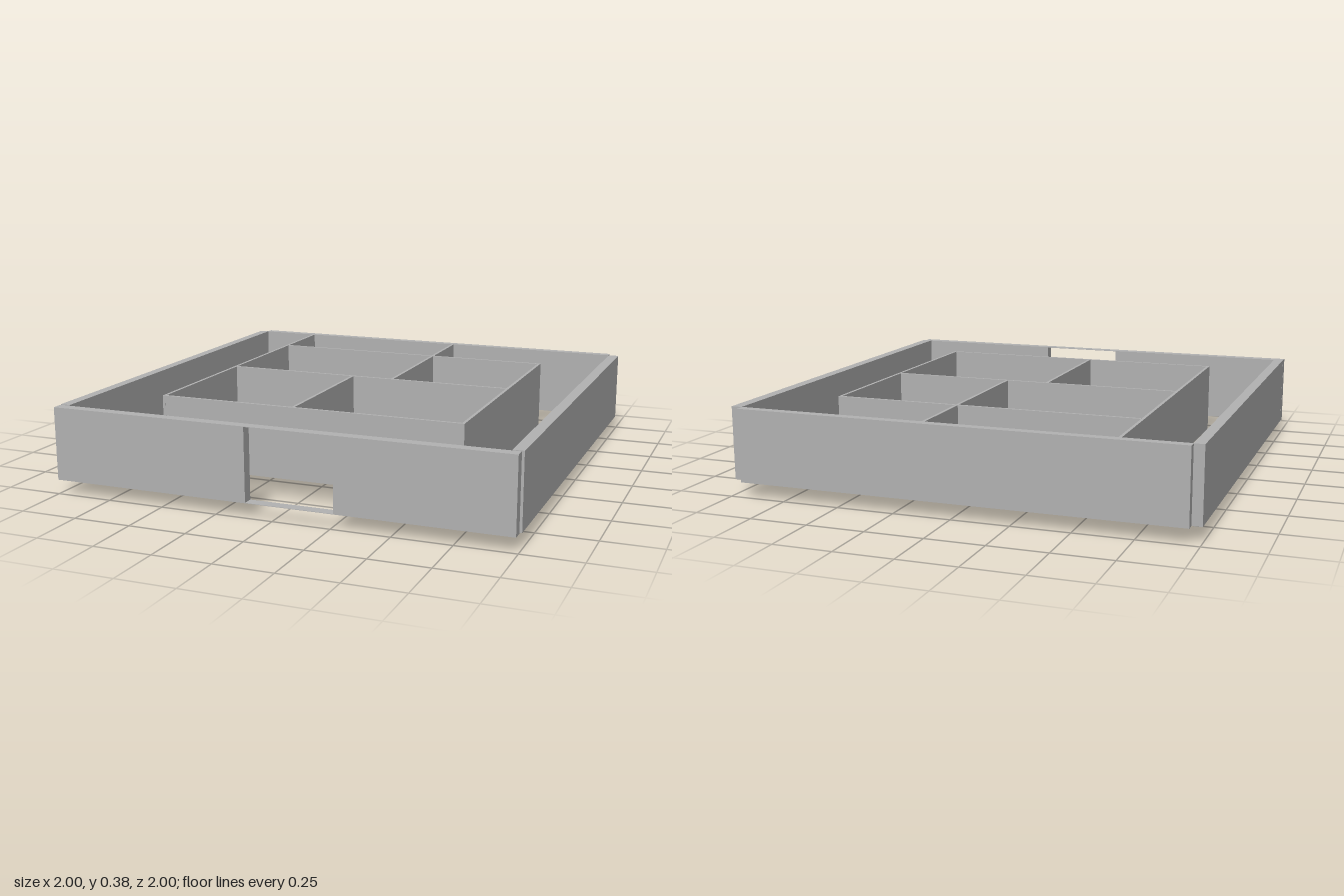
import * as THREE from 'three';

export function createModel() {
  const model = new THREE.Group();
  model.name = 'walledFloorPlan';
  const grey = new THREE.MeshStandardMaterial({ color: 0xb2b2b2 });
  grey.name = 'wall grey';

  const TOP = 0.38, BASE = 0.065;

  // Box between two limits on each axis
  function wall(name, x0, x1, z0, z1, y0 = BASE, y1 = TOP, parent = model) {
    const mesh = new THREE.Mesh(new THREE.BoxGeometry(x1 - x0, y1 - y0, z1 - z0), grey);
    mesh.position.set((x0 + x1) / 2, (y0 + y1) / 2, (z0 + z1) / 2);
    mesh.name = name;
    parent.add(mesh);
  }

  // Outer walls
  wall('backWall', -0.957, 0.95, -1, -0.96);
  wall('rightOuterWall', -1, -0.956, -0.963, 0.95);
  wall('leftOuterWall', 0.953, 1, -0.963, 0.95);

  // Front wall with an opening, closed by a thin strip above and below
  const front = new THREE.Group();
  front.name = 'frontWall';
  model.add(front);
  const g0 = -0.117, g1 = 0.263, f0 = 0.953, f1 = 1, low = 0.062, high = 0.378;
  wall('frontWallRight', -1, g0, f0, f1, low, high, front);
  wall('frontWallLeft', g1, 0.99, f0, f1, low, high, front);
  wall('openingSill', g0, g1, f0, f1, low, low + 0.002, front);
  wall('openingLintel', g0, g1, f0, f1, high - 0.002, high, front);

  // Inner partitions: centre line and extent, all equally thin
  const t = 0.0065;
  const along = (name, z, x0, x1, y0) => wall(name, x0, x1, z - t, z + t, y0);
  const across = (name, x, z0, z1) => wall(name, x - t, x + t, z0, z1);

  along('backRoomWall', -0.622, -0.671, 0.668);
  along('middleRoomWall', -0.029, -0.673, 0.674, 0); // reaches the ground
  along('frontRoomWall', 0.644, -0.671, 0.668);
  across('rightRoomWall', -0.678, -0.96, 0.6505);
  across('leftRoomWall', 0.6745, -0.6285, 0.6505);
  across('backDivider', 0.126, -0.96, -0.0355);
  across('frontDivider', -0.068, -0.0225, 0.6375);

  return model;
}
